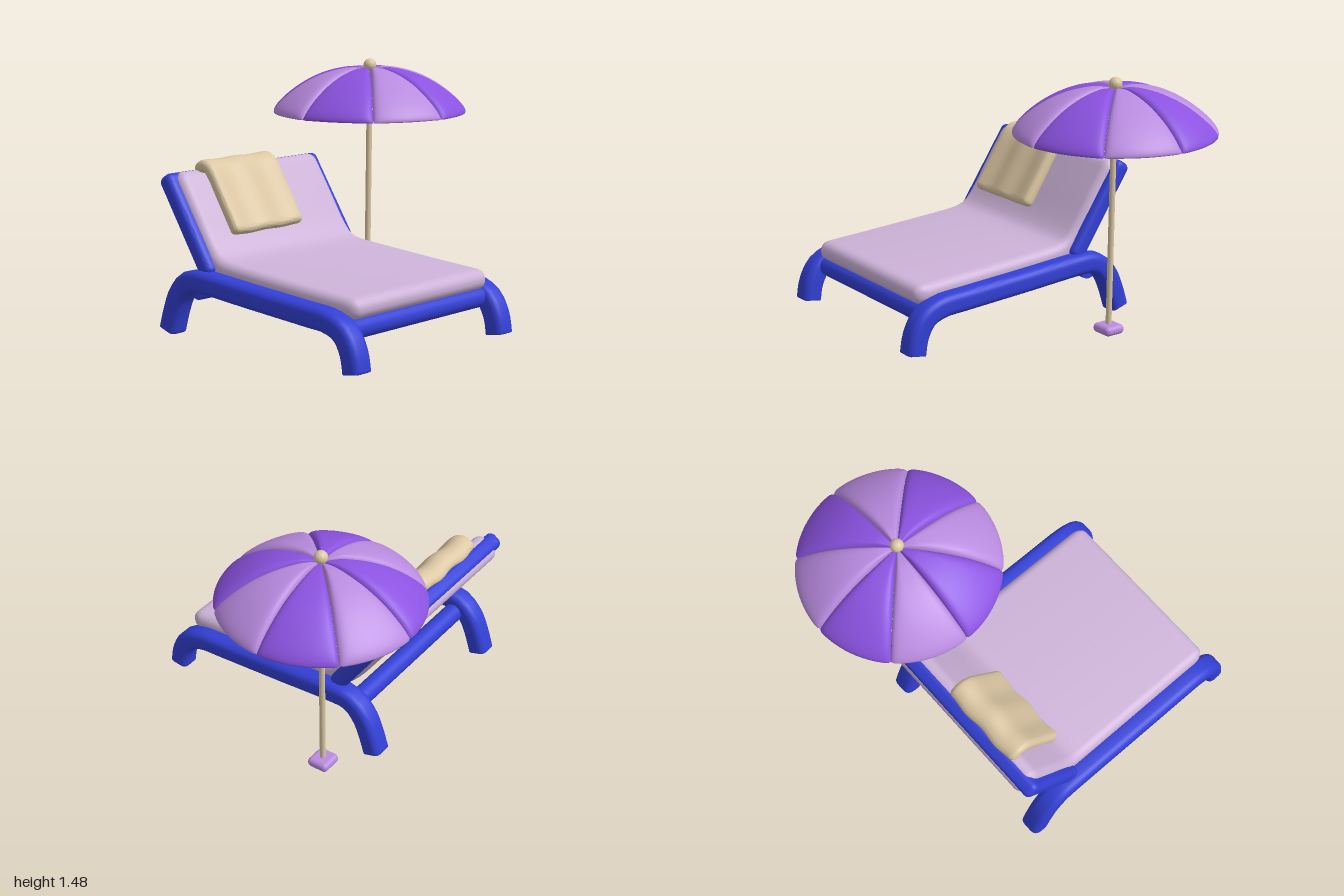
import * as THREE from 'three';
import { toCreasedNormals } from 'three/addons/utils/BufferGeometryUtils.js';
import { RoundedBoxGeometry } from 'three/addons/geometries/RoundedBoxGeometry.js';
import { ParametricGeometry } from 'three/addons/geometries/ParametricGeometry.js';

const material = (name, color) => {
  const m = new THREE.MeshStandardMaterial({ color });
  m.name = name;
  return m;
};

// Soft-edged band: a side profile following a (z, y) path, lofted from x0 to x1.
// w = [start width, end width], b = rounding at the x sides, rr = rounding at the path ends,
// corner = how strongly the corners between sides and ends are rounded.
function bandGeometry({ path, w, x0, x1, b, rr, corner = 1, ripple = 0 }) {
  const curve = new THREE.SplineCurve(path.map(([z, y]) => new THREE.Vector2(z, y)));
  const L = curve.getLength(), N = 44, S = 6, R = 2 * N + 2;
  const slices = [];
  for (let i = 0; i <= S; i++) {
    const a = (i / S) * Math.PI / 2;
    slices.push([x0 + b * (1 - Math.cos(a)), b * (1 - Math.sin(a))]);
  }
  const inner = ripple ? 28 : 1;
  for (let i = 1; i < inner; i++) slices.push([x0 + b + (x1 - x0 - 2 * b) * i / inner, 0]);
  for (let i = S; i >= 0; i--) {
    const a = (i / S) * Math.PI / 2;
    slices.push([x1 - b * (1 - Math.cos(a)), b * (1 - Math.sin(a))]);
  }
  const pos = [], index = [];
  for (const [x, k] of slices) {
    const upper = [], lower = [];
    const wave = ripple * Math.cos((x + 0.5) * 27);
    const m = k * corner;
    for (let i = 0; i <= N; i++) {
      const t = (1 - Math.cos(Math.PI * i / N)) / 2;
      const d = m + t * (L - 2 * m), e = Math.min(d - m, L - m - d);
      const r = Math.max(rr - k, 0.002);
      const half = THREE.MathUtils.lerp(w[0], w[1], t) / 2 - k;
      const h = half - r + Math.sqrt(Math.max(0, r * r - Math.max(0, r - e) ** 2));
      const p = curve.getPointAt(d / L), T = curve.getTangentAt(d / L);
      const z = p.x + wave * 0.83, y = p.y + wave * 0.56;
      upper.push([x, y - T.x * h, z + T.y * h]);
      lower.unshift([x, y + T.x * h, z - T.y * h]);
    }
    pos.push(...upper.flat(), ...lower.flat());
  }
  const last = (slices.length - 1) * R;
  for (let j = 0; j < slices.length - 1; j++) {
    for (let i = 0; i < R; i++) {
      const a = j * R + i, c = j * R + (i + 1) % R;
      index.push(a, a + R, c, c, a + R, c + R);
    }
  }
  for (let i = 0; i < N; i++) {
    const l = R - 1 - i;
    index.push(i, i + 1, l, i + 1, l - 1, l);
    index.push(last + i, last + l, last + i + 1, last + i + 1, last + l, last + l - 1);
  }
  const g = new THREE.BufferGeometry();
  g.setAttribute('position', new THREE.Float32BufferAttribute(pos, 3));
  g.setIndex(index);
  return toCreasedNormals(g, 0.8);
}

// One puffed wedge of the canopy: outer skin, then back along the inner skin.
function canopyPanel(index) {
  const R = 0.566;
  return new ParametricGeometry((u, v, target) => {
    const side = v <= 0.5 ? 1 : -1;
    const s = 0.03 + 0.97 * Math.sin((v <= 0.5 ? 2 * v : 2 - 2 * v) * Math.PI / 2);
    const c = -Math.cos(Math.PI * u);
    const puff = (1 - c ** 6) * Math.sqrt(Math.min(1, s / 0.2));
    const thick = 0.025 * Math.sqrt(Math.max(0, 1 - c ** 12)) * Math.sqrt(Math.max(0, 1 - s ** 30));
    const y = 1.414 - 0.238 * s ** 2.5 - 0.032 * (1 - puff) * (1 - 0.8 * s) + side * thick;
    const r = R * s * (1 - 0.02 * c ** 20 * s);
    const angle = (index + 0.5 + c * 0.4995) * Math.PI / 4;
    target.set(r * Math.cos(angle), y, r * Math.sin(angle));
  }, 20, 48);
}

export function createModel() {
  const model = new THREE.Group();
  model.name = 'sunLoungerWithParasol';
  const blue = material('blue frame', 0x3340d6);
  const mauve = material('mauve cushion', 0xcdb3d9);
  const tan = material('tan cloth and wood', 0xdcc7a3);
  const violet = material('violet canopy', 0x8b52e0);
  const lilac = material('lilac canopy', 0xb98be0);

  const add = (name, geometry, mat, parent = model) => {
    const mesh = new THREE.Mesh(geometry, mat);
    mesh.name = name;
    parent.add(mesh);
    return mesh;
  };

  // Side rails with curved legs, and the backrest uprights
  const railPath = [[0.842, 0.068], [0.822, 0.17], [0.767, 0.262], [0.665, 0.308], [0.5, 0.32],
    [0.1, 0.344], [-0.28, 0.368], [-0.392, 0.354], [-0.47, 0.28], [-0.517, 0.18], [-0.555, 0.063]];
  const backTop = [-0.608, 0.912];
  for (const [side, railX, postX] of [['right', -1, -0.95], ['left', 0.13, 0.122]]) {
    add(side + 'RailAndLegs', bandGeometry({ path: railPath, w: [0.122, 0.122], x0: railX, x1: railX + 0.132, b: 0.042, rr: 0.012, corner: 0.25 }), blue);
    add(side + 'BackrestPost', bandGeometry({ path: [[-0.264, 0.4], backTop], w: [0.1, 0.1], x0: postX, x1: postX + 0.09, b: 0.035, rr: 0.035 }), blue);
  }
  add('backrestTopBar', bandGeometry({ path: [[-0.555, 0.834], backTop], w: [0.1, 0.1], x0: -0.95, x1: 0.212, b: 0.035, rr: 0.035 }), blue);

  // Cross bars between the rails
  for (const [name, y, z] of [['frontCrossBar', 0.268, 0.738], ['rearCrossBar', 0.305, -0.382]]) {
    const bar = add(name, new THREE.CylinderGeometry(0.057, 0.057, 1.06, 24), blue);
    bar.rotation.z = Math.PI / 2;
    bar.position.set(-0.37, y, z);
  }

  // Seat and backrest cushion in one bent piece
  add('cushion', bandGeometry({
    path: [[0.793, 0.367], [0.4, 0.383], [0, 0.402], [-0.16, 0.414], [-0.253, 0.442], [-0.338, 0.525], [-0.463, 0.708], [-0.6, 0.906]],
    w: [0.112, 0.162], x0: -0.9, x1: 0.17, b: 0.052, rr: 0.054, corner: 1.5,
  }), mauve);

  // Towel hooked over the top of the backrest
  add('towel', bandGeometry({
    path: [[-0.246, 0.606], [-0.352, 0.768], [-0.453, 0.92], [-0.505, 0.952], [-0.543, 0.937], [-0.556, 0.91]],
    w: [0.07, 0.07], x0: -0.753, x1: -0.233, b: 0.03, rr: 0.03, ripple: 0.006,
  }), tan);

  // Parasol: foot, leaning pole, finial and eight alternating panels
  const parasol = new THREE.Group();
  parasol.name = 'parasol';
  model.add(parasol);
  add('parasolFoot', new RoundedBoxGeometry(0.14, 0.055, 0.13, 4, 0.025), lilac, parasol).position.set(0.406, 0.0275, -0.338);
  const pole = new THREE.LineCurve3(new THREE.Vector3(0.406, 0.03, -0.337), new THREE.Vector3(0.432, 1.42, -0.339));
  add('parasolPole', new THREE.TubeGeometry(pole, 1, 0.017, 16), tan, parasol);
  add('parasolFinial', new THREE.SphereGeometry(0.038, 24, 16), tan, parasol).position.set(0.433, 1.445, -0.34);
  for (let i = 0; i < 8; i++) {
    add('canopyPanel' + (i + 1), canopyPanel(i), i % 2 ? violet : lilac, parasol).position.set(0.433, 0, -0.342);
  }
  return model;
}
